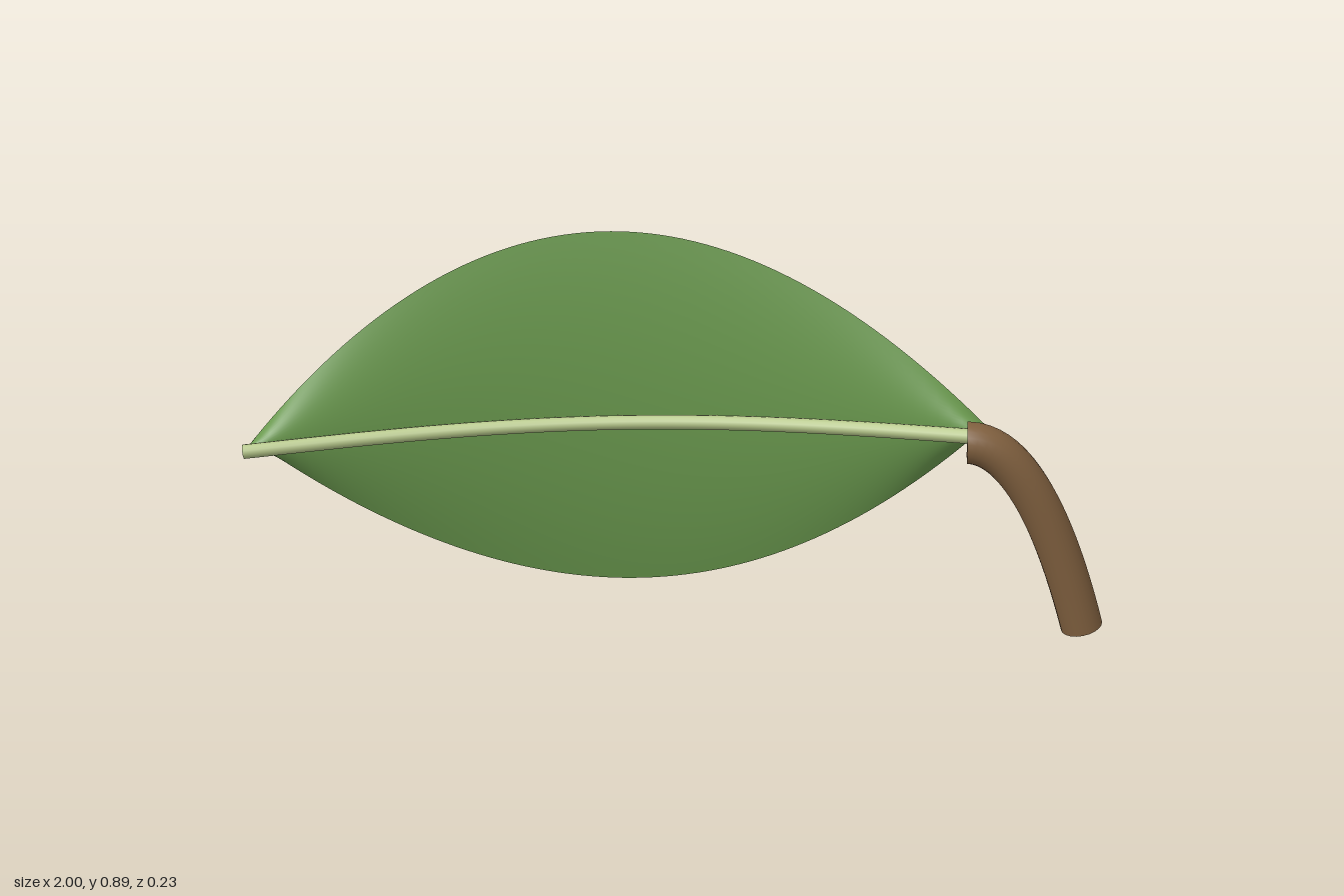
import * as THREE from 'three';

const mat = (color, side = THREE.FrontSide) => new THREE.MeshStandardMaterial({ color, side });

// Arched line along the middle of the blade, t = 0 at the tip, 1 at the stem
function midline(t, lift = 0) {
  return new THREE.Vector3(
    -0.995 + 1.705 * t,
    0.378 + 0.136 * t,
    0.06 - 0.012 * t - 0.125 * Math.sin(Math.PI * t) + lift
  );
}

// Leaf blade: a grid whose width swells in the middle and whose edges bend back
function makeBlade() {
  const geo = new THREE.PlaneGeometry(1, 1, 64, 24);
  const pos = geo.attributes.position;
  const tilt = Math.atan2(0.136, 1.705);
  for (let i = 0; i < pos.count; i++) {
    const t = pos.getX(i) + 0.5;
    const v = pos.getY(i) * 2;
    const w = 0.444 * 4 * t * (1 - t) * v;
    const p = midline(t);
    pos.setXYZ(i, p.x - Math.sin(tilt) * w, p.y + Math.cos(tilt) * w, p.z - 0.042 * v * v);
  }
  geo.computeVertexNormals();
  const mesh = new THREE.Mesh(geo, mat(0x6a994e, THREE.DoubleSide));
  mesh.name = 'leafBlade';
  return mesh;
}

// Round rod along a curve, closed by a disc at each end
function makeRod(name, curve, radius, segments, sides, color) {
  const group = new THREE.Group();
  group.name = name;
  const material = mat(color);
  group.add(new THREE.Mesh(new THREE.TubeGeometry(curve, segments, radius, sides), material));
  for (const end of [0, 1]) {
    const cap = new THREE.Mesh(new THREE.CircleGeometry(radius, sides), material);
    const out = curve.getTangent(end).multiplyScalar(end ? 1 : -1);
    cap.position.copy(curve.getPoint(end));
    cap.quaternion.setFromUnitVectors(new THREE.Vector3(0, 0, 1), out);
    group.add(cap);
  }
  return group;
}

export function createModel() {
  const model = new THREE.Group();
  model.name = 'leaf';
  model.add(makeBlade());

  // Midrib lying just in front of the blade
  const ribPoints = [];
  for (let i = 0; i <= 12; i++) ribPoints.push(midline(i / 12, 0.021));
  const ribCurve = new THREE.CatmullRomCurve3(ribPoints);
  model.add(makeRod('midrib', ribCurve, 0.017, 48, 12, 0xb5c689));

  // Stem bending down from the base of the blade
  const stemCurve = new THREE.QuadraticBezierCurve3(
    new THREE.Vector3(0.668, 0.498, 0.067),
    new THREE.Vector3(0.815, 0.505, 0.067),
    new THREE.Vector3(0.955, 0.057, 0.067)
  );
  model.add(makeRod('stem', stemCurve, 0.047, 32, 20, 0x80603f));
  return model;
}
